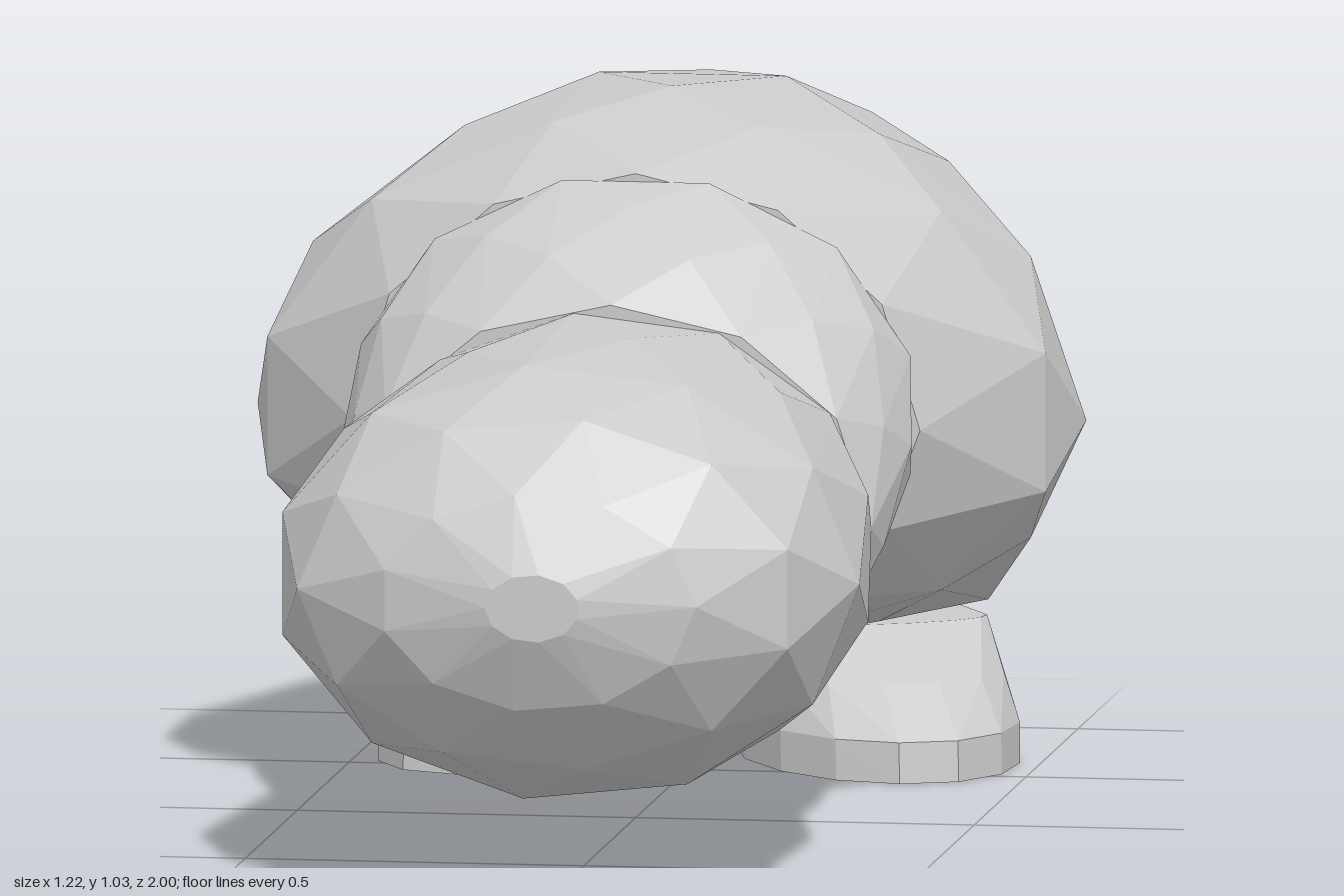
import * as THREE from 'three';
import { ConvexGeometry } from 'three/addons/geometries/ConvexGeometry.js';

const material = new THREE.MeshStandardMaterial({ color: 0xcccccc, flatShading: true });

function hull(name, points) {
  const mesh = new THREE.Mesh(new ConvexGeometry(points), material);
  mesh.name = name;
  return mesh;
}

// Staggered cross-sections along z: [z, half width, bottom y, widest y, top y]
function sections(rows, sides) {
  const points = [];
  rows.forEach(([z, w, bottom, mid, top], row) => {
    for (let i = 0; i < sides; i++) {
      const a = ((i + (row % 2) * 0.5) / sides) * Math.PI * 2;
      const s = Math.sin(a);
      points.push(new THREE.Vector3(w * Math.cos(a), mid + s * (s > 0 ? top - mid : mid - bottom), z));
    }
  });
  return points;
}

// Foot: upright round heel, domed toe, turned outward
function footPoints(side) {
  const points = [], turn = 0.4, sides = 14;
  // [y, half width, toe reach, heel reach]
  const levels = [[0, 0.2, 0.315, 0.315], [0.06, 0.2, 0.31, 0.315], [0.13, 0.185, 0.21, 0.315], [0.2, 0.165, 0.06, 0.31]];
  for (const [y, w, toe, heel] of levels) {
    for (let i = 0; i < sides; i++) {
      const a = (i / sides) * Math.PI * 2;
      const u = w * Math.cos(a);
      const f = Math.sin(a) * (Math.sin(a) > 0 ? toe : heel);
      const x = 0.25 + u * Math.cos(turn) + f * Math.sin(turn);
      const z = -0.7 - u * Math.sin(turn) + f * Math.cos(turn);
      points.push(new THREE.Vector3(side * x, y, Math.max(z, -1)));
    }
  }
  return points;
}

export function createModel() {
  const model = new THREE.Group();

  // Rounded head
  model.add(hull('head', sections([
    [0.24, 0.385, 0.16, 0.47, 0.78],
    [0.45, 0.43, 0.115, 0.46, 0.775],
    [0.68, 0.435, 0.12, 0.45, 0.765],
    [0.85, 0.37, 0.19, 0.45, 0.71],
    [0.95, 0.235, 0.29, 0.45, 0.61],
    [1.0, 0.07, 0.4, 0.45, 0.5],
  ], 11)));

  // Neck tapering down to the head
  model.add(hull('neck', sections([
    [0.24, 0.385, 0.15, 0.47, 0.79],
    [0.16, 0.405, 0.18, 0.52, 0.86],
    [0.08, 0.42, 0.22, 0.57, 0.91],
    [0, 0.42, 0.27, 0.6, 0.95],
  ], 12)));

  // Humped body with a flat rump and belly
  const body = sections([
    [0, 0.42, 0.28, 0.58, 0.95],
    [-0.2, 0.595, 0.22, 0.55, 1.01],
    [-0.35, 0.612, 0.2, 0.55, 1.03],
    [-0.55, 0.535, 0.2, 0.57, 1.035],
    [-0.73, 0.475, 0.2, 0.57, 1.0],
    [-0.9, 0.39, 0.2, 0.55, 0.87],
  ], 12);
  for (const s of [-1, 1]) {
    body.push(
      new THREE.Vector3(s * 0.38, 0.2, -0.92),
      new THREE.Vector3(s * 0.26, 0.2, -1),
      new THREE.Vector3(s * 0.26, 0.56, -1),
      new THREE.Vector3(s * 0.12, 0.72, -0.99),
    );
  }
  model.add(hull('body', body));

  model.add(hull('leftFoot', footPoints(1)));
  model.add(hull('rightFoot', footPoints(-1)));
  return model;
}
